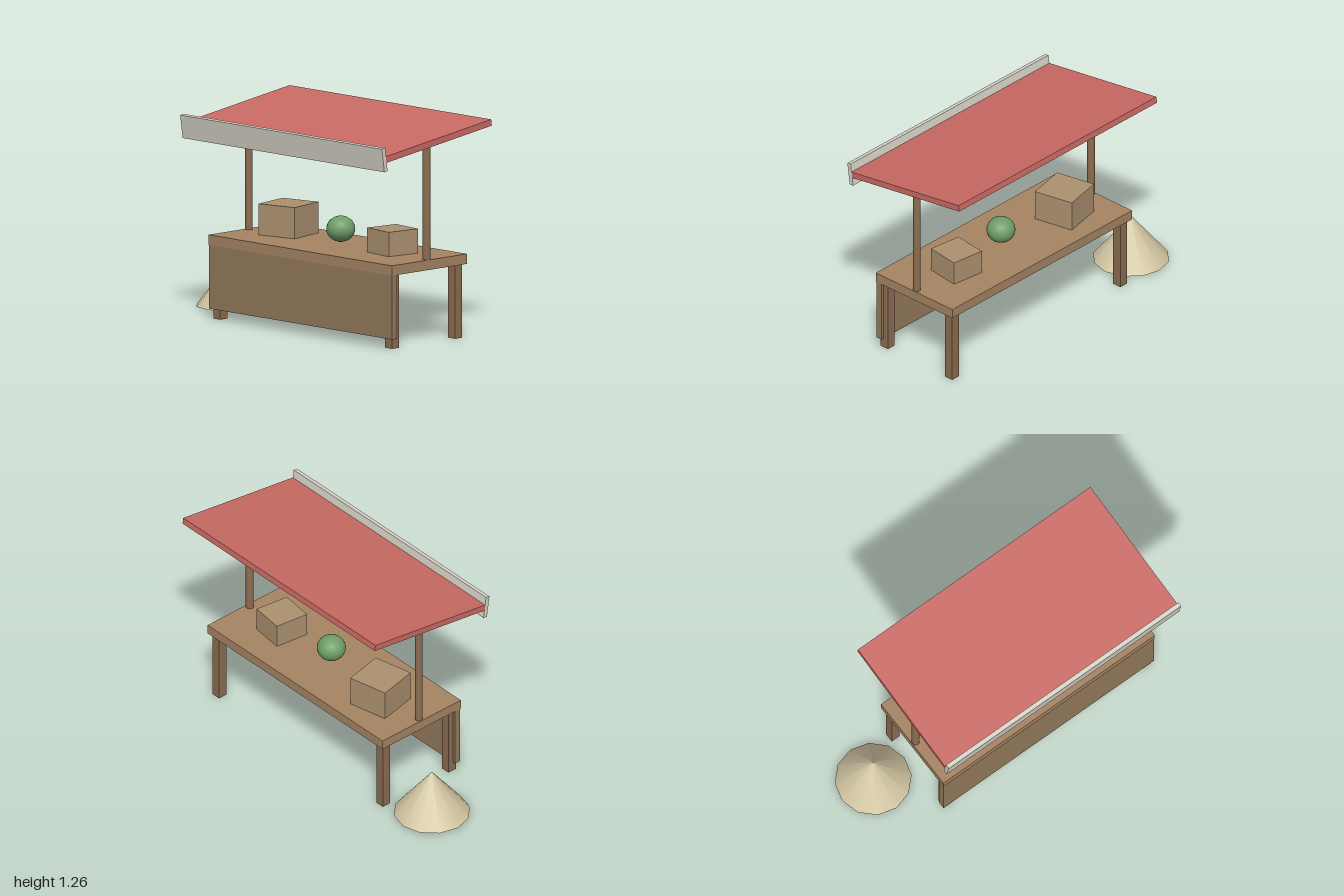
import * as THREE from 'three';

export function createModel() {
  const stall = new THREE.Group();
  stall.name = 'marketStall';
  const paint = (color) => new THREE.MeshStandardMaterial({ color });
  const wood = paint(0xa58463), legWood = paint(0x8c6d50), panelWood = paint(0x937a5b);
  const crateWood = paint(0xac9170), red = paint(0xc96a64), cream = paint(0xd8d4c8);
  const green = paint(0x6f9e68), straw = paint(0xd2c6a2);

  const add = (name, geometry, material, x, y, z) => {
    const mesh = new THREE.Mesh(geometry, material);
    mesh.name = name;
    mesh.position.set(x, y, z);
    stall.add(mesh);
    return mesh;
  };
  const box = (name, w, h, d, material, x, y, z) =>
    add(name, new THREE.BoxGeometry(w, h, d), material, x, y, z);

  const cx = 0.172, cz = -0.012; // centre of the table

  // Table: top, front panel, four legs
  box('tableTop', 1.5, 0.058, 0.596, wood, cx, 0.455, cz);
  box('frontPanel', 1.495, 0.37, 0.038, panelWood, cx, 0.242, 0.263);
  for (const sx of [-1, 1]) {
    for (const sz of [-1, 1]) {
      box('tableLeg', 0.056, 0.427, 0.056, legWood, cx + sx * 0.702, 0.2135, cz + sz * 0.25);
    }
    // Posts that carry the roof
    add('roofPost', new THREE.CylinderGeometry(0.0225, 0.0225, 0.675, 12), legWood,
      cx + sx * 0.726, 0.8175, cz);
  }

  // Sloping roof with a board along its front edge
  const tilt = 0.14;
  box('roof', 1.65, 0.037, 0.845, red, cx, 1.178, -0.0135).rotation.x = tilt;
  box('valance', 1.65, 0.1365, 0.026, cream, cx, 1.118, 0.415).rotation.x = tilt;

  // Goods on the table
  box('largeCrate', 0.246, 0.18, 0.246, crateWood, -0.28, 0.574, -0.061).rotation.y = 0.21;
  box('smallCrate', 0.205, 0.142, 0.207, crateWood, 0.595, 0.554, -0.036).rotation.y = -0.125;
  add('melon', new THREE.SphereGeometry(0.083, 20, 14), green, 0.197, 0.577, cz).scale.y = 0.9;

  // Heap beside the stall
  add('strawHeap', new THREE.ConeGeometry(0.22, 0.277, 12), straw, -0.78, 0.1445, -0.113);

  return stall;
}
